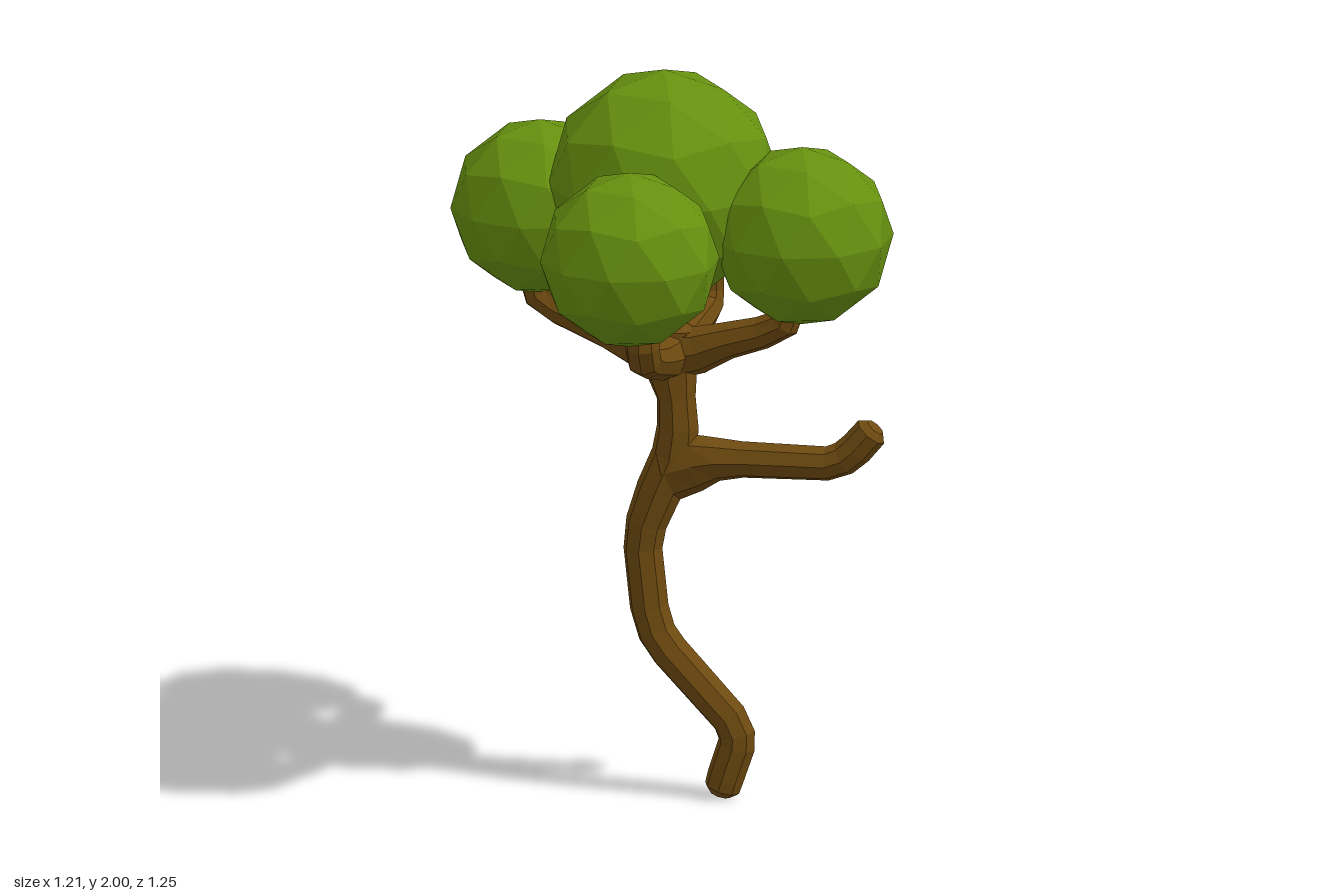
import * as THREE from 'three';

const bark = new THREE.MeshStandardMaterial({ color: 0x6e4a10, flatShading: true });
const leaf = new THREE.MeshStandardMaterial({ color: 0x66900f, flatShading: true });
const SIDES = 8;

// Eight-sided limb swept through [x, y, z, radius] points of a path lying in a plane
// whose normal is `side`; the limb never grows wider than 0.057 along that normal.
function limb(name, points, side) {
  const centres = points.map(p => new THREE.Vector3(p[0], p[1], p[2]));
  const last = points.length - 1;
  const rings = points.map((p, i) => {
    const tangent = new THREE.Vector3()
      .subVectors(centres[Math.min(i + 1, last)], centres[Math.max(i - 1, 0)]).normalize();
    const u = side.clone().addScaledVector(tangent, -side.dot(tangent)).normalize();
    const v = new THREE.Vector3().crossVectors(tangent, u);
    return { c: centres[i], tangent, u, v, r: p[3], w: Math.min(p[3], 0.057) };
  });
  // Small extra rings make the blunt, bevelled ends
  const bevel = (ring, dir) => ({
    ...ring, r: ring.r * 0.6, w: ring.w * 0.6,
    c: ring.c.clone().addScaledVector(ring.tangent, dir * 0.018),
  });
  rings.unshift(bevel(rings[0], -1));
  rings.push(bevel(rings[rings.length - 1], 1));

  const pos = [], index = [];
  for (const { c, u, v, r, w } of rings) {
    for (let k = 0; k < SIDES; k++) {
      const a = (k / SIDES) * Math.PI * 2;
      const p = c.clone().addScaledVector(u, Math.cos(a) * w).addScaledVector(v, Math.sin(a) * r);
      pos.push(p.x, p.y, p.z);
    }
  }
  for (let i = 0; i < rings.length - 1; i++) {
    for (let k = 0; k < SIDES; k++) {
      const a = i * SIDES + k, b = i * SIDES + (k + 1) % SIDES;
      index.push(a, b, b + SIDES, a, b + SIDES, a + SIDES);
    }
  }
  const top = (rings.length - 1) * SIDES;
  for (let k = 1; k < SIDES - 1; k++) {
    index.push(0, k + 1, k, top, top + k, top + k + 1);
  }
  const geo = new THREE.BufferGeometry();
  geo.setAttribute('position', new THREE.Float32BufferAttribute(pos, 3));
  geo.setIndex(index);
  geo.computeVertexNormals();
  const mesh = new THREE.Mesh(geo, bark);
  mesh.name = name;
  return mesh;
}

// Faceted ball of leaves with one corner pointing straight up
function foliage(name, x, y, z, radius) {
  const geo = new THREE.IcosahedronGeometry(radius, 1);
  geo.rotateZ(-Math.atan(2 / (1 + Math.sqrt(5))));
  const mesh = new THREE.Mesh(geo, leaf);
  mesh.position.set(x, y, z);
  mesh.name = name;
  return mesh;
}

export function createModel() {
  const tree = new THREE.Group();
  tree.name = 'tree';
  const X = new THREE.Vector3(1, 0, 0), Z = new THREE.Vector3(0, 0, 1);

  // Winding trunk, flaring where the crown branches meet
  tree.add(limb('trunk', [
    [0.143, 0.03, 0, 0.048], [0.152, 0.06, 0, 0.05], [0.182, 0.15, 0, 0.051],
    [0.183, 0.18, 0, 0.051], [0.163, 0.225, 0, 0.051], [0.0, 0.4, 0, 0.053],
    [-0.035, 0.45, 0, 0.053], [-0.056, 0.52, 0, 0.053], [-0.073, 0.68, 0, 0.053],
    [-0.064, 0.75, 0, 0.056], [-0.03, 0.84, 0, 0.062], [0.012, 0.94, 0, 0.062],
    [0.022, 1.02, 0, 0.057], [0.018, 1.1, 0, 0.053], [0.005, 1.17, 0, 0.07],
    [0, 1.23, 0, 0.09], [0, 1.29, 0, 0.075],
  ], Z));

  // Bare branch low on the left
  tree.add(limb('bareBranch', [
    [-0.01, 0.9, 0, 0.09], [0.07, 0.925, 0, 0.08], [0.13, 0.937, 0, 0.06],
    [0.2, 0.94, 0, 0.05], [0.43, 0.943, 0, 0.047], [0.475, 0.96, 0, 0.047],
    [0.51, 0.99, 0, 0.047], [0.55, 1.037, 0, 0.046],
  ], Z));

  // Crown branches
  tree.add(limb('rightBranch', [
    [0.03, 1.22, 0, 0.08], [-0.08, 1.235, -0.01, 0.065], [-0.18, 1.265, -0.04, 0.051],
    [-0.32, 1.305, -0.08, 0.045], [-0.375, 1.335, -0.09, 0.045], [-0.4, 1.42, -0.095, 0.043],
  ], Z));
  tree.add(limb('leftBranch', [
    [-0.03, 1.22, 0, 0.08], [0.08, 1.237, 0.005, 0.065], [0.16, 1.27, 0.015, 0.051],
    [0.26, 1.302, 0.03, 0.045], [0.32, 1.335, 0.04, 0.045], [0.35, 1.42, 0.04, 0.043],
  ], Z));
  tree.add(limb('frontBranch', [
    [0, 1.22, -0.03, 0.075], [0, 1.228, 0.08, 0.06], [0, 1.245, 0.17, 0.05],
    [0, 1.268, 0.26, 0.047], [0, 1.285, 0.305, 0.047], [0, 1.325, 0.327, 0.047],
    [0, 1.41, 0.328, 0.046],
  ], X));
  tree.add(limb('backBranch', [
    [0, 1.22, 0.03, 0.075], [0, 1.222, -0.07, 0.062], [0, 1.222, -0.16, 0.051],
    [0, 1.227, -0.38, 0.047], [0, 1.24, -0.425, 0.049], [0, 1.28, -0.446, 0.047],
    [0, 1.42, -0.446, 0.046],
  ], X));

  // Foliage
  tree.add(
    foliage('topFoliage', -0.018, 1.687, -0.012, 0.313),
    foliage('rightFoliage', -0.376, 1.58, -0.093, 0.239),
    foliage('leftFoliage', 0.372, 1.58, 0.043, 0.244),
    foliage('frontFoliage', -0.022, 1.58, 0.382, 0.24),
    foliage('backFoliage', -0.022, 1.58, -0.409, 0.221),
  );
  return tree;
}
